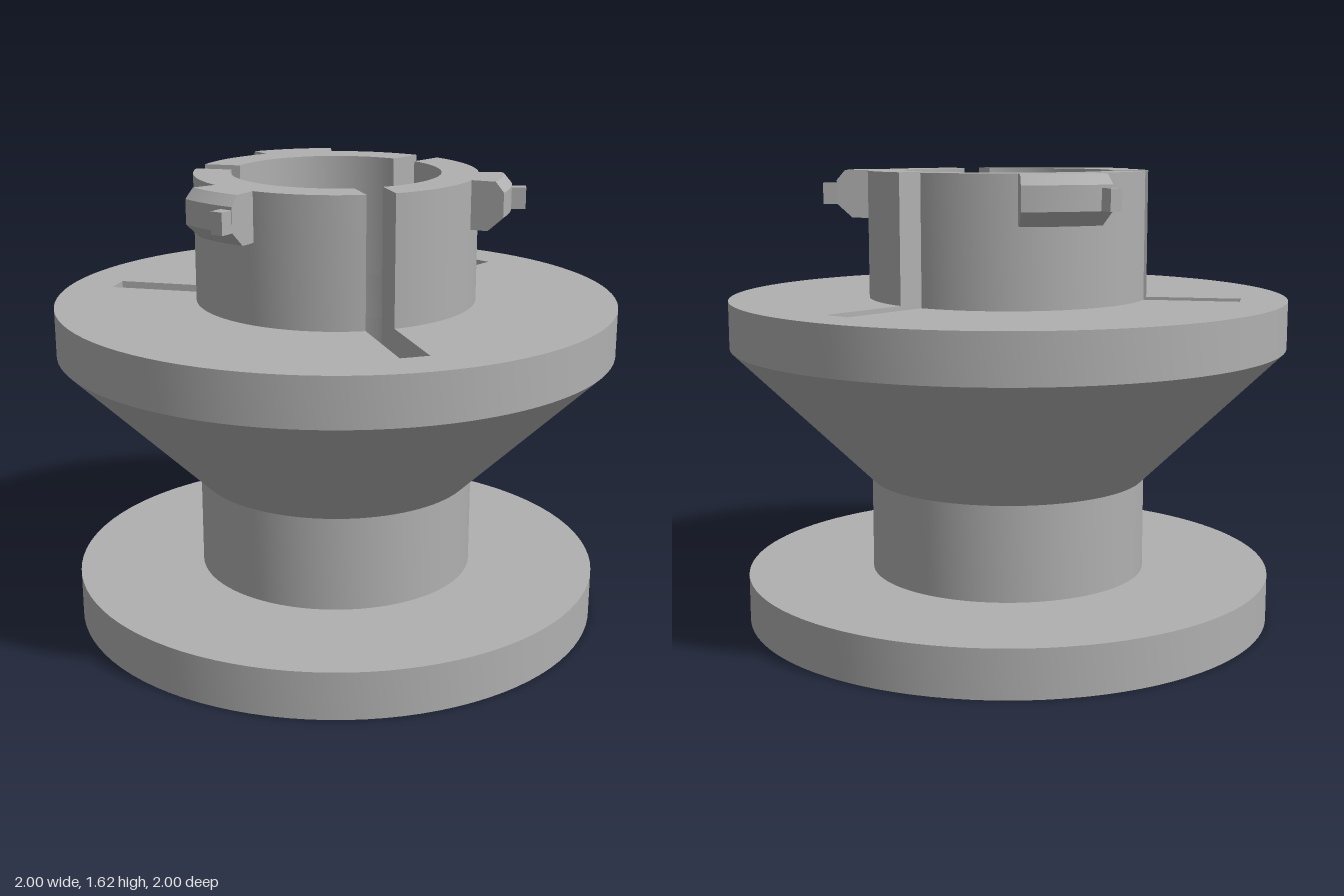
import * as THREE from 'three';
import { toCreasedNormals } from 'three/addons/utils/BufferGeometryUtils.js';

const BORE = 0.37, COLLAR = 0.5, SLOT_HALF = 0.05, SLOT_END = 0.835;
const FLOOR = 1.0, RIM_TOP = 1.17, TOP = 1.62;
const THIRD = Math.PI * 2 / 3;
const rad = THREE.MathUtils.degToRad;

const polar = (r, a) => new THREE.Vector2(r * Math.cos(a), r * Math.sin(a));

// Points along an arc, from angle a to angle b
function arc(r, a, b, n) {
  return Array.from({ length: n + 1 }, (_, i) => polar(r, a + (b - a) * i / n));
}

// Plan shape (x, z) extruded downward from the height top
function slab(shape, top, height) {
  const g = new THREE.ExtrudeGeometry(shape, { depth: height, bevelEnabled: false, curveSegments: 48 });
  g.rotateX(Math.PI / 2);
  g.translate(0, top, 0);
  return toCreasedNormals(g, 0.5);
}

// Profile (radius, y) swept around the axis between two angles, closed at both ends
function sweep(profile, a, b, steps) {
  const shape = new THREE.Shape(profile.map(([r, y]) => new THREE.Vector2(r, y)));
  const g = new THREE.ExtrudeGeometry(shape, { depth: b - a, steps, bevelEnabled: false });
  const p = g.attributes.position;
  for (let i = 0; i < p.count; i++) {
    const r = p.getX(i), t = a + p.getZ(i);
    p.setXYZ(i, r * Math.cos(t), p.getY(i), r * Math.sin(t));
  }
  return toCreasedNormals(g, 0.5);
}

export function createModel() {
  const group = new THREE.Group();
  const grey = new THREE.MeshStandardMaterial({ color: 0xb0b0b0 });
  grey.name = 'grey';

  function add(name, geometry, parent = group) {
    const mesh = new THREE.Mesh(geometry, grey);
    mesh.name = name;
    parent.add(mesh);
    return mesh;
  }

  // Foot, neck and flaring cone with the bore inside
  const profile = [
    [0, 0], [0.955, 0], [0.955, 0.17], [COLLAR, 0.17], [COLLAR, 0.51],
    [1, FLOOR], [BORE, FLOOR], [BORE, 0.17], [0, 0.17],
  ].map(([x, y]) => new THREE.Vector2(x, y));
  add('spoolBody', toCreasedNormals(new THREE.LatheGeometry(profile, 96), 0.5));

  // Rim disc, pierced by the bore and three radial slots
  const rim = new THREE.Shape(arc(1, 0, Math.PI * 2, 96).slice(0, -1));
  const cut = [];
  const inner = Math.asin(SLOT_HALF / BORE);
  const outer = Math.asin(SLOT_HALF / COLLAR);
  for (let i = 0; i < 3; i++) {
    const a = i * THIRD, origin = new THREE.Vector2();
    for (const side of [-SLOT_HALF, SLOT_HALF]) {
      cut.push(new THREE.Vector2(SLOT_END, side).rotateAround(origin, a));
    }
    cut.push(...arc(BORE, a + inner, a + THIRD - inner, 28));
  }
  rim.holes.push(new THREE.Path(cut));
  add('slottedRim', slab(rim, RIM_TOP, RIM_TOP - FLOOR));

  // Collar segments between the slots, each with a chamfered clip and a small nub
  const clipProfile = [
    [0.49, 1.45], [0.56, 1.45], [0.615, 1.5], [0.615, 1.585], [0.585, TOP], [0.49, TOP],
  ];
  const clipHalfAngles = [10.4, 10.4, 15].map(rad);
  clipHalfAngles.forEach((half, i) => {
    const segment = new THREE.Group();
    segment.name = 'collarSegment' + (i + 1);
    group.add(segment);

    const a = i * THIRD, b = a + THIRD, mid = a + THIRD / 2;
    const plan = new THREE.Shape([
      ...arc(COLLAR, a + outer, b - outer, 32),
      ...arc(BORE, b - inner, a + inner, 28),
    ]);
    add('collarWall', slab(plan, TOP, TOP - RIM_TOP), segment);
    add('clip', sweep(clipProfile, mid - half, mid + half, 8), segment);

    const angle = mid - half + rad(2.2);
    const nub = add('nub', new THREE.BoxGeometry(0.075, 0.075, 0.045), segment);
    const p = polar(0.627, angle);
    nub.position.set(p.x, 1.537, p.y);
    nub.rotation.y = -angle;
  });

  return group;
}
